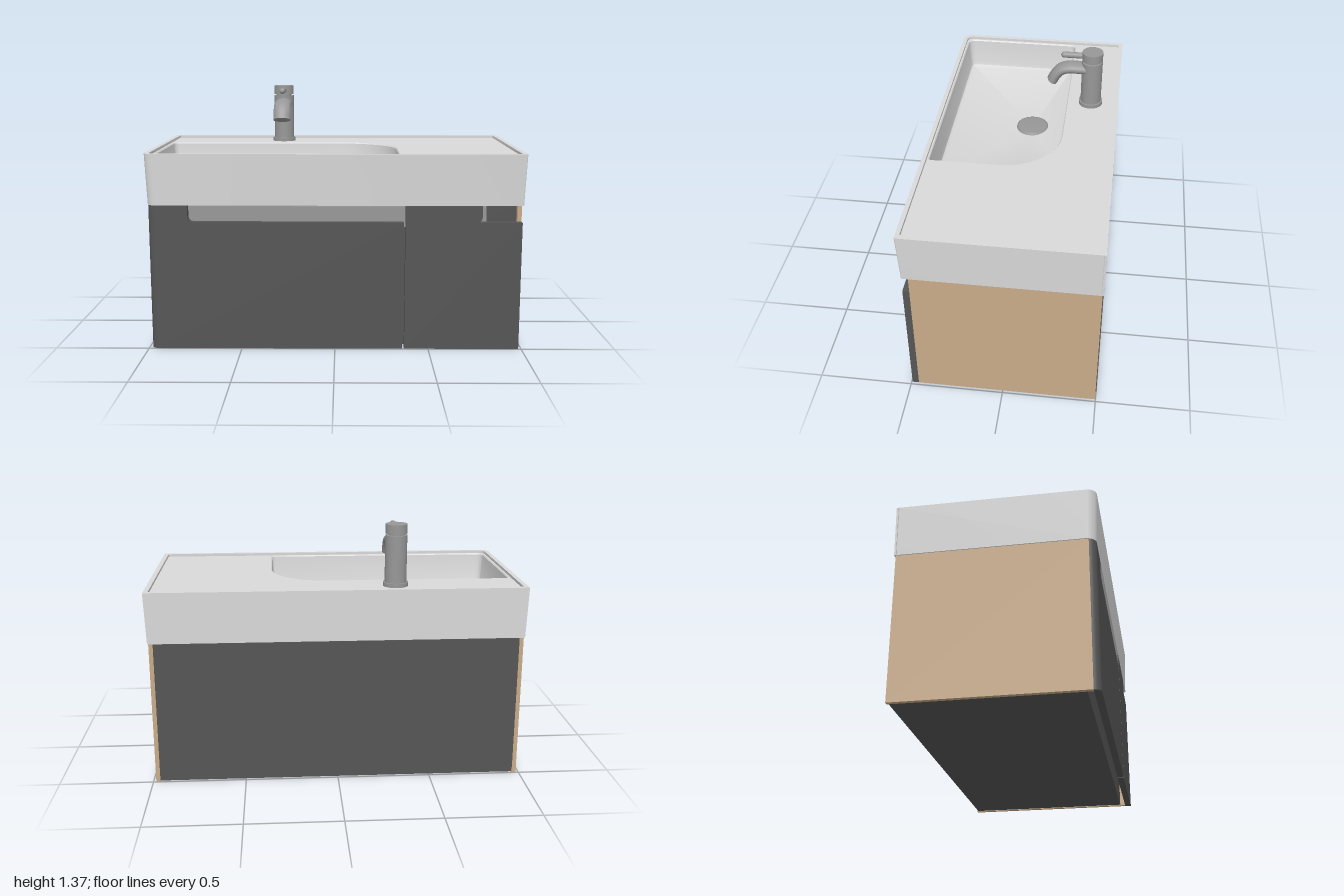
import * as THREE from 'three';
import { toCreasedNormals } from 'three/addons/utils/BufferGeometryUtils.js';

const material = (name, color) => {
  const m = new THREE.MeshStandardMaterial({ color });
  m.name = name;
  return m;
};

// Rounded rectangle seen from above; radii: back left, back right, front right, front left
function outline(x0, x1, z0, z1, radii, inset = 0) {
  const corners = [[x0, z0, 1, 1], [x1, z0, -1, 1], [x1, z1, -1, -1], [x0, z1, 1, -1]];
  const points = [];
  corners.forEach(([x, z, sx, sz], c) => {
    const r = Math.max(radii[c], inset + 0.002);
    for (let i = 0; i <= 14; i++) {
      const a = Math.PI + (c + i / 14) * Math.PI / 2;
      points.push([x + sx * r + Math.cos(a) * (r - inset), z + sz * r + Math.sin(a) * (r - inset)]);
    }
  });
  return points;
}

const atHeight = (points, y) => points.map(([x, z]) => [x, y, z]);

// Surface through closed rings with equal point counts
function loft(rings) {
  const n = rings[0].length, index = [];
  for (let k = 0; k < rings.length - 1; k++) {
    for (let i = 0; i < n; i++) {
      const j = (i + 1) % n, a = k * n, b = a + n;
      index.push(a + i, b + i, b + j, a + i, b + j, a + j);
    }
  }
  const g = new THREE.BufferGeometry();
  g.setAttribute('position', new THREE.Float32BufferAttribute(rings.flat(2), 3));
  g.setIndex(index);
  return toCreasedNormals(g.toNonIndexed(), 0.6);
}

export function createModel() {
  const model = new THREE.Group();
  const ceramic = material('white ceramic', 0xd9d9d9);
  const dark = material('dark lacquer', 0x555555);
  const wood = material('light wood', 0xc8ab88);
  const metal = material('grey metal', 0x979797);

  const add = (name, geometry, mat, x = 0, y = 0, z = 0, parent = model) => {
    const mesh = new THREE.Mesh(geometry, mat);
    mesh.name = name;
    mesh.position.set(x, y, z);
    parent.add(mesh);
    return mesh;
  };
  const box = (name, mat, x0, x1, y0, y1, z0, z1) => add(name,
    new THREE.BoxGeometry(x1 - x0, y1 - y0, z1 - z0), mat, (x0 + x1) / 2, (y0 + y1) / 2, (z0 + z1) / 2);
  const cylinder = (name, r, y0, y1, x, z, parent) => add(name,
    new THREE.CylinderGeometry(r, r, y1 - y0, 48), metal, x, (y0 + y1) / 2, z, parent);

  // Cabinet
  box('carcass', dark, -0.962, 0.962, 0.004, 0.775, -0.492, 0.43);
  box('backPanel', dark, -0.962, 0.962, 0.035, 0.778, -0.502, -0.49);
  for (const s of [-1, 1]) {
    const a = s * 0.962, b = s * 0.985;
    box('sidePanel', wood, Math.min(a, b), Math.max(a, b), 0, 0.78, -0.498, 0.46);
  }
  box('handleChannel', metal, -0.8, 0.8, 0.66, 0.77, 0.43, 0.455);

  // Doors with one shared finger cutout along the top
  const door = (name, outer, inner, cut) => {
    const s = Math.sign(cut), r = 0.035, low = 0.69, top = 0.777;
    const shape = new THREE.Shape();
    shape.moveTo(outer, 0);
    shape.lineTo(inner, 0);
    shape.lineTo(inner, low);
    shape.lineTo(cut - s * r, low);
    shape.quadraticCurveTo(cut, low, cut, low + r);
    shape.lineTo(cut, top);
    shape.lineTo(outer, top);
    shape.closePath();
    add(name, new THREE.ExtrudeGeometry(shape, { depth: 0.035, bevelEnabled: false }), dark, 0, 0, 0.46);
  };
  door('wideDoor', -0.95, 0.362, -0.775);
  door('narrowDoor', 0.372, 0.985, 0.775);
  add('roundedDoorEdge', new THREE.CylinderGeometry(0.035, 0.035, 0.777, 12, 1, false, Math.PI * 1.5, Math.PI / 2),
    dark, -0.95, 0.3885, 0.46);

  // Basin shell: underside, tapered walls and raised rim
  const outerRadii = [0.004, 0.004, 0.008, 0.05];
  const bottom = outline(-0.99, 0.99, -0.495, 0.495, outerRadii);
  const top = outline(-1, 1, -0.495, 0.505, outerRadii);
  const rim = outline(-0.975, 0.975, -0.482, 0.482, [0.01, 0.01, 0.01, 0.035]);
  const deckY = 1.037;
  add('basinShell', loft([
    atHeight(bottom.map(([x, z]) => [x * 0.02, z * 0.02]), 0.78),
    atHeight(bottom, 0.78), atHeight(top, 1.052), atHeight(rim, 1.052), atHeight(rim, deckY),
  ]), ceramic);

  // Basin back with four mounting holes
  const back = new THREE.Shape([[-0.99, 0.78], [0.99, 0.78], [1, 1.052], [-1, 1.052]]
    .map(([x, y]) => new THREE.Vector2(x, y)));
  for (const x of [-0.876, -0.665, 0.665, 0.876]) {
    back.holes.push(new THREE.Path().absarc(x, 0.955, 0.024, 0, Math.PI * 2, true));
  }
  add('basinBack', new THREE.ExtrudeGeometry(back, { depth: 0.01, bevelEnabled: false, curveSegments: 20 }),
    ceramic, 0, 0, -0.505);

  // Flat deck around the bowl
  const bowl = inset => outline(-0.966, 0.347, -0.215, 0.475, [0.035, 0.31, 0.02, 0.045], inset);
  const flat = points => points.map(([x, z]) => new THREE.Vector2(x, -z));
  const deck = new THREE.Shape(flat(rim));
  deck.holes.push(new THREE.Path(flat(bowl(0))));
  add('deck', new THREE.ShapeGeometry(deck).rotateX(-Math.PI / 2), ceramic, 0, deckY, 0);

  // Bowl with steep walls and a floor falling to the drain
  const drainX = -0.315, drainZ = -0.01;
  const floorEdge = bowl(0.035);
  add('bowl', loft([
    atHeight(bowl(0), deckY), atHeight(bowl(0.005), deckY - 0.006), atHeight(bowl(0.014), 0.885),
    atHeight(bowl(0.02), 0.866), atHeight(floorEdge, 0.856),
    atHeight(floorEdge.map(([x, z]) => [drainX + (x - drainX) * 0.05, drainZ + (z - drainZ) * 0.05]), 0.838),
  ]), ceramic);
  const drainProfile = [[0, 0.854], [0.08, 0.853], [0.091, 0.849], [0.095, 0.83]];
  add('drainCover', new THREE.LatheGeometry(
    drainProfile.map(([r, y]) => new THREE.Vector2(r, y)).reverse(), 48), metal, drainX, 0, drainZ);

  // Faucet
  const faucet = new THREE.Group();
  faucet.name = 'faucet';
  faucet.position.set(-0.315, 0, -0.345);
  model.add(faucet);
  cylinder('faucetFlange', 0.067, deckY, 1.058, 0, 0, faucet);
  cylinder('faucetBody', 0.058, 1.058, 1.31, 0, 0, faucet);
  cylinder('faucetNeck', 0.045, 1.31, 1.32, 0, 0, faucet);
  cylinder('faucetCap', 0.058, 1.318, 1.368, 0, 0, faucet);
  const lever = add('faucetLever', new THREE.CapsuleGeometry(0.017, 0.12, 8, 20), metal, 0, 1.342, 0.1, faucet);
  lever.rotation.x = Math.PI / 2;

  // Flattened spout bending down towards the drain
  const path = new THREE.CatmullRomCurve3([
    [1.265, 0], [1.265, 0.07], [1.264, 0.13], [1.25, 0.172], [1.22, 0.201], [1.178, 0.223],
  ].map(([y, z]) => new THREE.Vector3(0, y, z)));
  const spout = new THREE.Group();
  spout.name = 'spout';
  spout.scale.x = 1.6;
  faucet.add(spout);
  add('spoutTube', new THREE.TubeGeometry(path, 32, 0.031, 28), metal, 0, 0, 0, spout);
  const end = path.getPoint(1), dir = path.getTangent(1);
  const outlet = add('spoutOutlet', new THREE.CircleGeometry(0.031, 28), metal, end.x, end.y, end.z, spout);
  outlet.quaternion.setFromUnitVectors(new THREE.Vector3(0, 0, 1), dir);

  return model;
}
